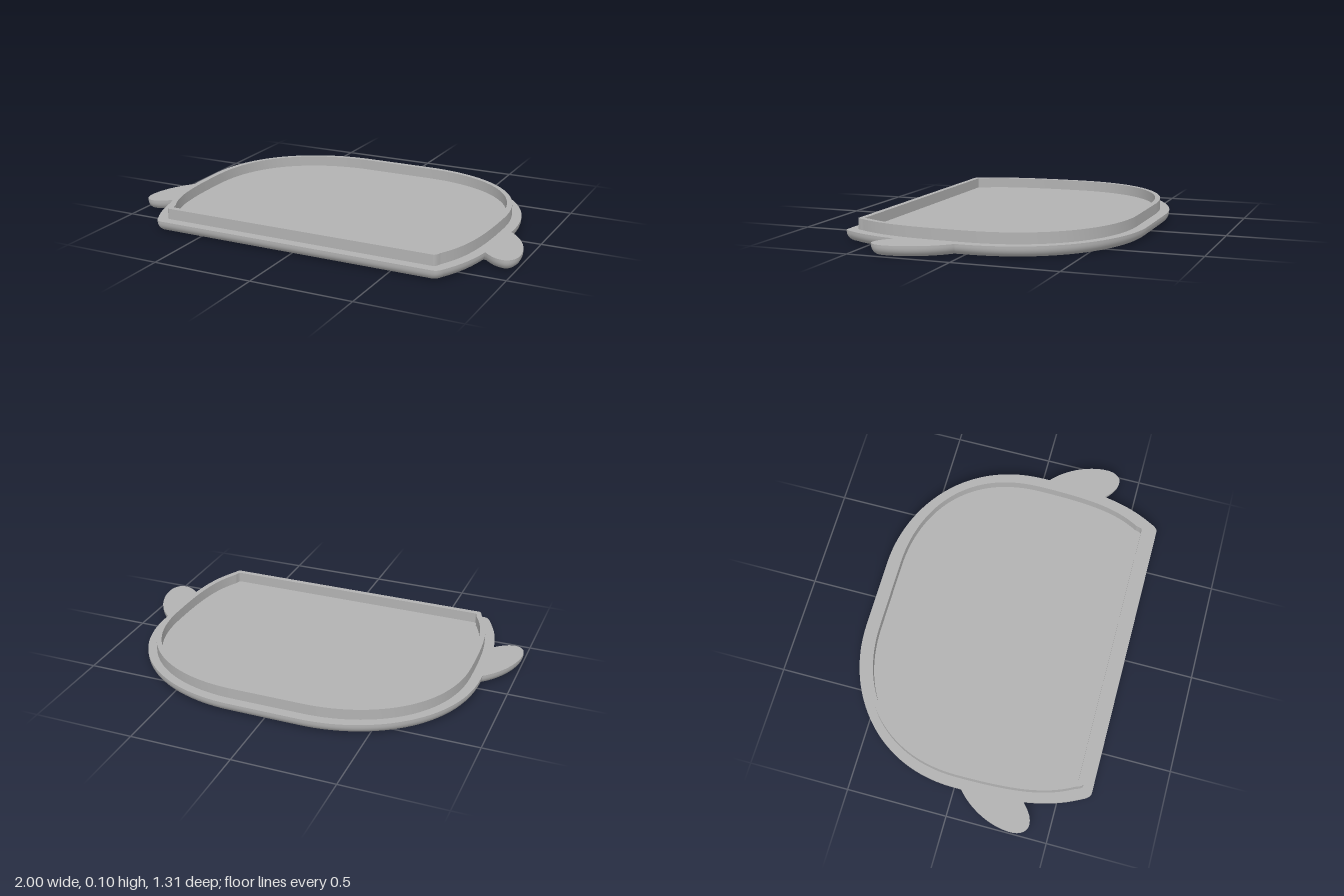
import * as THREE from 'three';
import { mergeGeometries } from 'three/addons/utils/BufferGeometryUtils.js';

const PLATE_TOP = 0.052, RIM_TOP = 0.105, ROUND = 0.042;

// Domed plate outline in (x, z), inset by d
function plateOutline(d) {
  const half = new THREE.Path();
  half.moveTo(0, -0.657 + d);
  half.lineTo(0.18, -0.657 + d);
  half.bezierCurveTo(0.52 - 0.3 * d, -0.657 + d, 0.863 - d, -0.42 + 0.3 * d, 0.863 - d, 0);
  half.bezierCurveTo(0.863 - d, 0.3, 0.84 - d, 0.46 - 0.4 * d, 0.755 - 0.75 * d, 0.615 - 0.9 * d);
  half.quadraticCurveTo(0.738 - 0.6 * d, 0.653 - d, 0.715 - 0.4 * d, 0.653 - d);
  half.lineTo(0, 0.653 - d);
  const right = half.getPoints(28);
  const left = right.slice(1, -1).reverse().map(p => new THREE.Vector2(-p.x, p.y));
  return [...right, ...left];
}

// Side flipper outline in (x, z), inset by d; its root runs inside the plate
function flipperOutline(d, side) {
  const path = new THREE.Path();
  path.moveTo(0.78, 0.02 + 0.8 * d);
  path.lineTo(0.84 - 0.6 * d, 0.02 + 0.8 * d);
  path.bezierCurveTo(0.94 - 0.7 * d, 0.09 + 0.7 * d, 1 - d, 0.22 + 0.3 * d, 1 - d, 0.32);
  path.bezierCurveTo(1 - d, 0.37 - 0.5 * d, 0.975 - 0.5 * d, 0.4 - d, 0.945, 0.4 - d);
  path.bezierCurveTo(0.91, 0.4 - d, 0.88, 0.38 - d, 0.84, 0.34 - d);
  path.lineTo(0.78, 0.34 - d);
  const points = path.getPoints(16).map(p => new THREE.Vector2(p.x * side, p.y));
  return side < 0 ? points.reverse() : points;
}

function surface(positions, index) {
  const g = new THREE.BufferGeometry();
  g.setAttribute('position', new THREE.Float32BufferAttribute(positions, 3));
  g.setIndex(index);
  g.computeVertexNormals();
  return g;
}

// Smooth band through closed rings given as [inset, height]
function band(outline, rings) {
  const positions = [], index = [];
  let n = 0;
  for (const [d, y] of rings) {
    const points = outline(d);
    n = points.length;
    for (const p of points) positions.push(p.x, y, p.y);
  }
  for (let k = 0; k < rings.length - 1; k++) {
    for (let i = 0; i < n; i++) {
      const a = k * n + i, b = k * n + (i + 1) % n;
      index.push(a, a + n, b + n, a, b + n, b);
    }
  }
  return surface(positions, index);
}

// Flat face filling an outline
function cap(outline, d, y, up) {
  const points = outline(d);
  const positions = points.flatMap(p => [p.x, y, p.y]);
  const index = THREE.ShapeUtils.triangulateShape(points, [])
    .flatMap(([a, b, c]) => (up ? [a, c, b] : [a, b, c]));
  return surface(positions, index);
}

// Slab with a flat top and a rounded lower edge
function slab(outline) {
  const rings = [];
  for (let i = 0; i <= 8; i++) {
    const t = (i / 8) * Math.PI / 2;
    rings.push([ROUND * (1 - Math.sin(t)), ROUND * (1 - Math.cos(t))]);
  }
  rings.push([0, PLATE_TOP]);
  return mergeGeometries([
    band(outline, rings),
    cap(outline, 0, PLATE_TOP, true),
    cap(outline, ROUND, 0, false),
  ]);
}

export function createModel() {
  const group = new THREE.Group();
  const grey = new THREE.MeshStandardMaterial({ color: 0xb2b2b2 });
  grey.name = 'grey';
  const add = (name, geometry) => {
    const mesh = new THREE.Mesh(geometry, grey);
    mesh.name = name;
    group.add(mesh);
  };

  add('basePlate', slab(plateOutline));
  add('leftFlipper', slab(d => flipperOutline(d, 1)));
  add('rightFlipper', slab(d => flipperOutline(d, -1)));

  // Raised rim: outer wall, flat top and inner wall
  const profile = [[0.05, PLATE_TOP], [0.05, RIM_TOP], [0.078, RIM_TOP], [0.078, PLATE_TOP]];
  add('raisedRim', mergeGeometries(
    [0, 1, 2].map(i => band(plateOutline, [profile[i], profile[i + 1]]))));

  return group;
}
